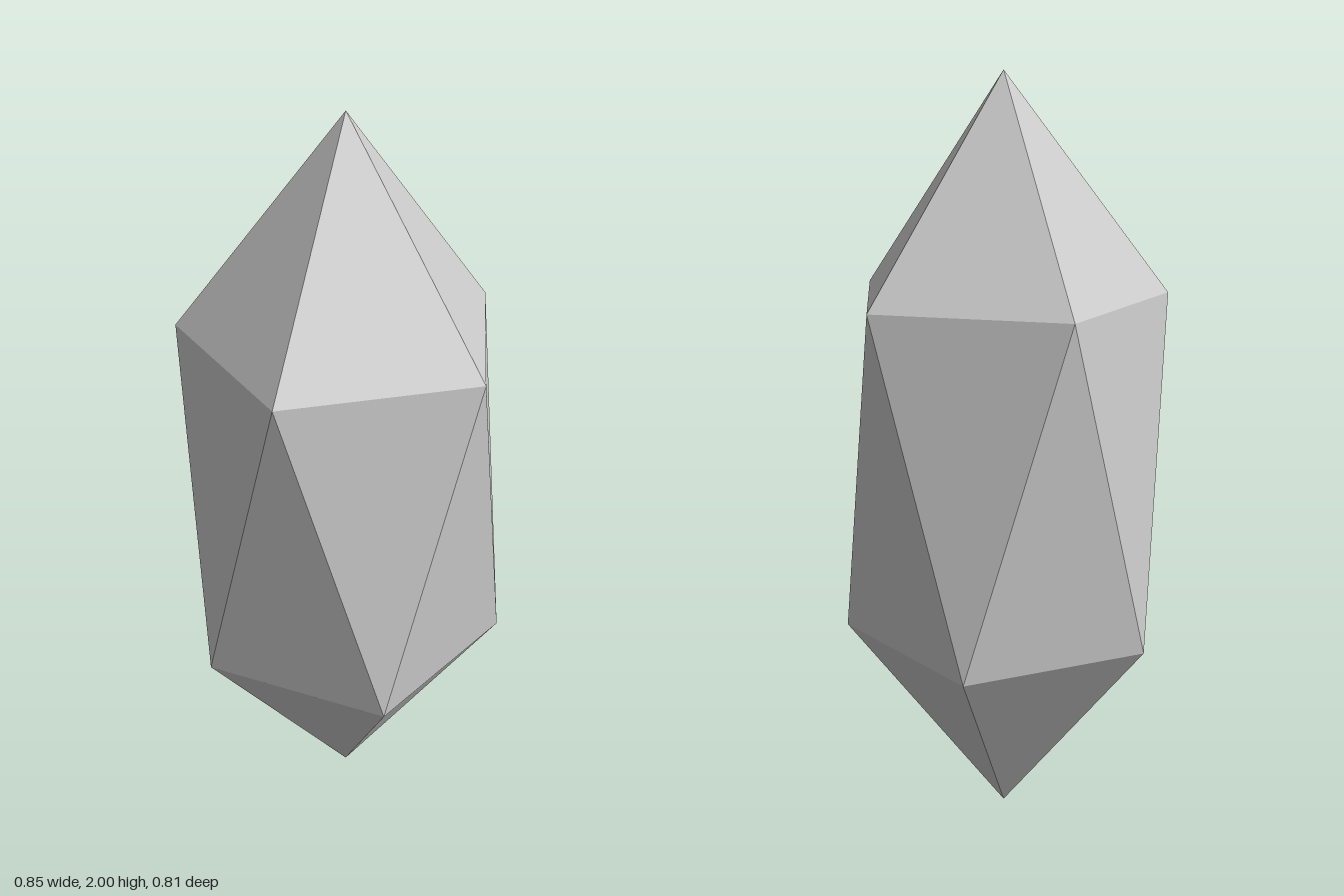
import * as THREE from 'three';

const SIDES = 5;
const RADIUS = 0.424;

// One ring of the crystal, turned by a fraction of a side
function ring(y, turn) {
  return Array.from({ length: SIDES }, (_, i) => {
    const a = ((i + turn) / SIDES) * Math.PI * 2;
    return new THREE.Vector3(RADIUS * Math.cos(a), y, RADIUS * Math.sin(a));
  });
}

export function createModel() {
  const top = new THREE.Vector3(0, 2, 0);
  const bottom = new THREE.Vector3(0, 0, 0);
  const upper = ring(1.45, 0);
  const lower = ring(0.555, 0.5);

  const points = [];
  for (let i = 0; i < SIDES; i++) {
    const j = (i + 1) % SIDES;
    points.push(top, upper[j], upper[i]); // upper point
    points.push(upper[i], upper[j], lower[i]); // belt facet pointing down
    points.push(upper[j], lower[j], lower[i]); // belt facet pointing up
    points.push(lower[i], lower[j], bottom); // lower point
  }
  const geometry = new THREE.BufferGeometry().setFromPoints(points);
  geometry.computeVertexNormals();

  const material = new THREE.MeshStandardMaterial({ color: 0xcccccc, flatShading: true });
  const crystal = new THREE.Mesh(geometry, material);
  crystal.name = 'crystal';

  const group = new THREE.Group();
  group.name = 'crystalModel';
  group.add(crystal);
  return group;
}
